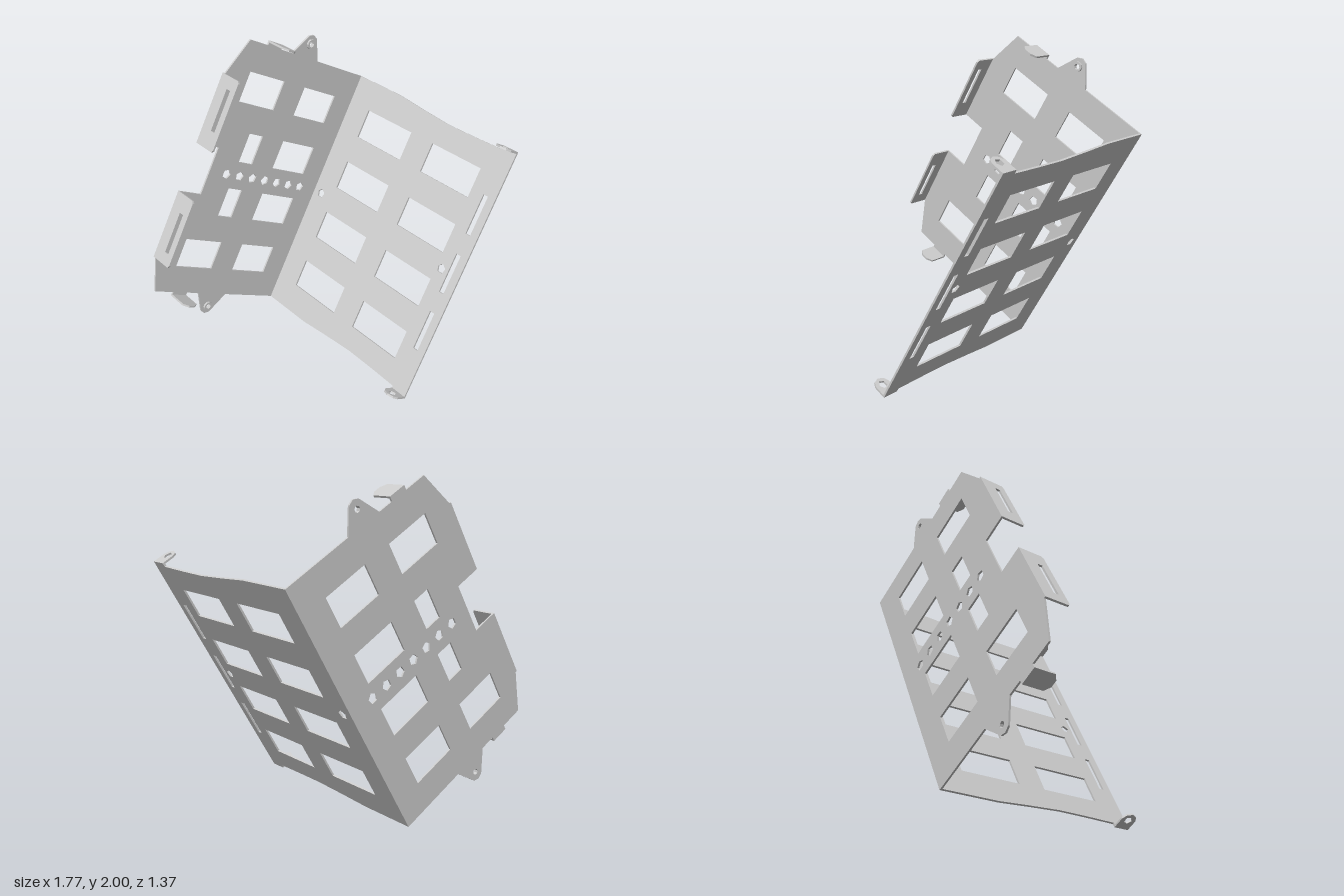
import * as THREE from 'three';

const T = 0.012; // sheet thickness
const BACK = -0.685, FRONT = 0.685;
const H = 1.7, MID = H / 2; // length along the fold, and its mirror line
const ROWS = [-0.568, -0.19, 0.19, 0.568].map((d) => MID + d);

const X = new THREE.Vector3(1, 0, 0);
const Y = new THREE.Vector3(0, 1, 0);
const Z = new THREE.Vector3(0, 0, 1);

const material = new THREE.MeshStandardMaterial({ color: 0xcccccc, flatShading: true, side: THREE.DoubleSide });

const path = (pts) => new THREE.Path(pts.map((p) => new THREE.Vector2(...p)));
const rect = (cx, cy, w, h) => path([
  [cx - w / 2, cy - h / 2], [cx + w / 2, cy - h / 2], [cx + w / 2, cy + h / 2], [cx - w / 2, cy + h / 2],
]);
const ngon = (cx, cy, r, n = 5, turn = 0.3) => path(Array.from({ length: n }, (_, i) => {
  const a = turn + (i / n) * Math.PI * 2;
  return [cx + r * Math.cos(a), cy + r * Math.sin(a)];
}));

// Sheet cut from an outline, laid in the plane of axes u and v, thickened along u x v
function sheet(name, outline, holes, u, v, origin, depth = T) {
  const shape = new THREE.Shape(outline.map((p) => new THREE.Vector2(...p)));
  shape.holes.push(...holes);
  const geo = new THREE.ExtrudeGeometry(shape, { depth, bevelEnabled: false });
  const m = new THREE.Matrix4().makeBasis(u, v, new THREE.Vector3().crossVectors(u, v));
  geo.applyMatrix4(m.setPosition(...origin));
  const mesh = new THREE.Mesh(geo, material);
  mesh.name = name;
  return mesh;
}

// Lower half of an outline, followed by its mirror image about the middle
const mirrored = (pts, flip) => [...pts, ...pts.map(flip).reverse()];

export function createModel() {
  const model = new THREE.Group();
  model.name = 'foldedBracket';
  const body = new THREE.Group();
  body.name = 'tiltedBody';
  body.position.set(0.03, 0, 0);
  body.rotation.z = -Math.PI / 6;
  model.add(body);

  // Back plate with screw ears, notch, windows and a row of small holes
  const backOutline = mirrored([
    [0, 0], [-0.46, 0], [-0.525, -0.105], [-0.545, -0.137], [-0.58, -0.15], [-0.615, -0.135],
    [-0.7, 0], [-0.8, 0], [-0.8, -0.03], [-0.915, -0.03], [-0.915, 0], [-1.062, 0],
    [-1.155, 0.237], [-1.155, 0.69], [-0.994, 0.69],
  ], ([x, y]) => [x, H - y]);
  const backHoles = [ngon(-0.58, -0.092, 0.019, 8), ngon(-0.58, H + 0.092, 0.019, 8)];
  ROWS.forEach((y, i) => {
    const inner = i === 1 || i === 2;
    backHoles.push(rect(-0.334, y, 0.3, 0.197));
    backHoles.push(rect(inner ? -0.732 : -0.823, y, inner ? 0.117 : 0.3, 0.197));
  });
  for (let i = 0; i < 7; i++) backHoles.push(ngon(-0.17 - i * 0.1135, MID, 0.033, 5, 0.3 + i));
  body.add(sheet('backPlate', backOutline, backHoles, X, Y, [0, 0, BACK]));

  // Side plate, slightly waisted, with windows, slots and two round holes
  const sideOutline = mirrored([
    [BACK, 0], [-0.3, 0], [-0.08, 0.018], [0.15, 0.033], [0.35, 0.031], [0.572, 0.025],
    [0.575, 0], [FRONT, 0],
  ], ([z, y]) => [z, H - y]);
  const sideHoles = [ngon(0.54, MID, 0.031), ngon(-0.605, MID, 0.031)];
  for (const y of ROWS) sideHoles.push(rect(0.298, y, 0.405, 0.195), rect(-0.293, y, 0.405, 0.195));
  for (const d of [-0.402, 0, 0.402]) sideHoles.push(rect(0.612, MID + d, 0.036, 0.264));
  body.add(sheet('sidePlate', sideOutline, sideHoles, Z, Y, [0, 0, 0]));

  // Parts that repeat at the lower and upper ends
  for (const upper of [false, true]) {
    const end = upper ? 'upper' : 'lower';
    const at = (y) => (upper ? H - y : y);

    // Slotted flange folded forward from the far edge
    const y0 = Math.min(at(0.237), at(0.69)), y1 = Math.max(at(0.237), at(0.69));
    body.add(sheet(end + 'SlottedFlange',
      [[BACK, y0], [-0.53, y0], [-0.52, y0 + 0.015], [-0.52, y1 - 0.015], [-0.53, y1], [BACK, y1]],
      [rect(-0.583, at(0.445), 0.034, 0.268)], Z, Y, [-1.155, 0, 0]));

    // Pointed tab folded forward from the end edge
    body.add(sheet(end + 'PointedTab',
      [[-0.915, BACK], [-0.8, BACK], [-0.8, -0.55], [-0.835, -0.522], [-0.88, -0.522], [-0.915, -0.55]],
      [], X, Z, [0, upper ? H + 0.03 : T - 0.03, 0]));

    // Rounded ear folded inward at the front corner
    body.add(sheet(end + 'CornerEar',
      [[0, 0.575], [-0.08, 0.575], [-0.11, 0.592], [-0.125, 0.63], [-0.11, 0.668], [-0.08, FRONT], [0, FRONT]],
      [ngon(-0.075, 0.63, 0.028)], X, Z, [0, upper ? H : T, 0]));

    // Raised ring around the screw hole
    const ring = ngon(-0.58, at(-0.092), 0.032, 10).getPoints().map((p) => [p.x, p.y]);
    body.add(sheet(end + 'ScrewRing', ring, [ngon(-0.58, at(-0.092), 0.019, 8)],
      X, Y, [0, 0, BACK + T], 0.014));
  }
  return model;
}
